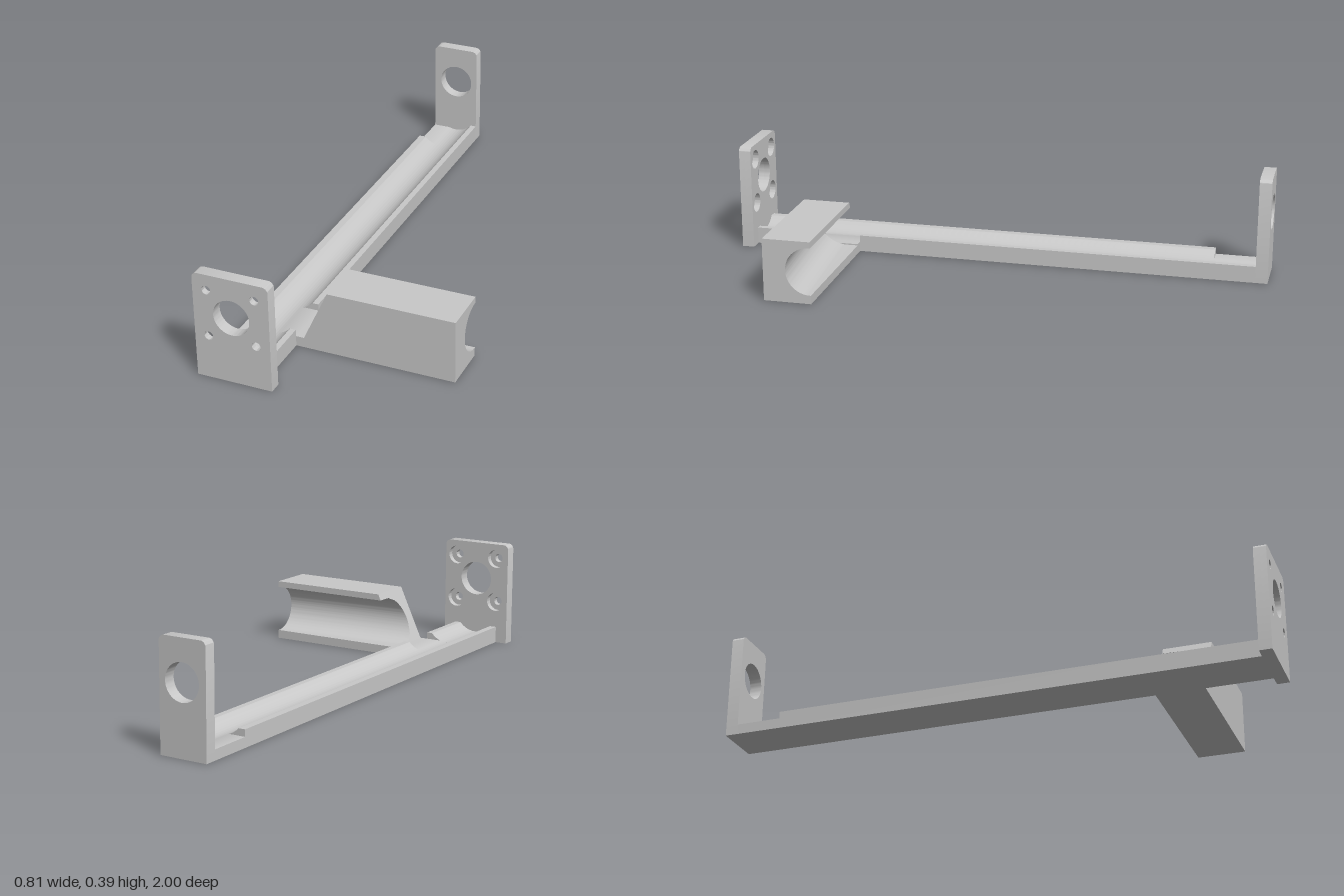
import * as THREE from 'three';
import { toCreasedNormals } from 'three/addons/utils/BufferGeometryUtils.js';

const CX = -0.266;          // axis of the rail channel and the plate bores
const RAIL = [-0.358, -0.178];
const FLOOR = 0.037, TOP = 0.062;
const BORE_Y = 0.12, BORE_R = 0.088;
const ARM_BACK = 0.545, ARM_FRONT = 0.721, ARM_TOP = 0.231;

export function createModel() {
  const group = new THREE.Group();
  const grey = new THREE.MeshStandardMaterial({ color: 0xc8c8c8 });
  grey.name = 'lightGrey';

  const add = (name, geometry) => {
    const mesh = new THREE.Mesh(toCreasedNormals(geometry, 0.5), grey);
    mesh.name = name;
    group.add(mesh);
  };
  const extrude = (shape, z0, z1) =>
    new THREE.ExtrudeGeometry(shape, { depth: z1 - z0, bevelEnabled: false, curveSegments: 32 }).translate(0, 0, z0);

  // Upright plate with rounded top corners and round holes [x, y, radius]
  const plate = (x0, x1, holes) => {
    const h = 0.393, r = 0.02;
    const s = new THREE.Shape();
    s.moveTo(x0, 0);
    s.lineTo(x1, 0);
    s.lineTo(x1, h - r);
    s.absarc(x1 - r, h - r, r, 0, Math.PI / 2, false);
    s.lineTo(x0 + r, h);
    s.absarc(x0 + r, h - r, r, Math.PI / 2, Math.PI, false);
    s.closePath();
    for (const [x, y, radius] of holes) {
      const hole = new THREE.Path();
      hole.absarc(x, y, radius, 0, Math.PI * 2, true);
      s.holes.push(hole);
    }
    return s;
  };
  const bore = [CX, 0.249, 0.0655];
  const screws = (r) => [-1, 1].flatMap((i) => [-1, 1].map((j) => [CX + i * 0.0865, 0.249 + j * 0.0865, r]));

  // Motor plate: narrow screw holes in front, wider counterbores behind
  add('frontPlateFace', extrude(plate(-0.403, -0.129, [bore, ...screws(0.016)]), 0.978, 1));
  add('frontPlateCounterbores', extrude(plate(-0.403, -0.129, [bore, ...screws(0.036)]), 0.955, 0.978));
  add('backPlate', extrude(plate(...RAIL, [bore]), -1, -0.955));

  // Rail section: round channel, with a full or cut-down wall on each side
  const rail = (yMinus, yPlus) => {
    const angle = (y) => Math.asin((BORE_Y - y) / BORE_R);
    const s = new THREE.Shape();
    s.moveTo(RAIL[0], 0);
    s.lineTo(RAIL[1], 0);
    s.lineTo(RAIL[1], yPlus);
    s.absarc(CX, BORE_Y, BORE_R, -angle(yPlus), -Math.PI + angle(yMinus), true);
    s.lineTo(RAIL[0], yMinus);
    s.closePath();
    return s;
  };
  add('railFront', extrude(rail(TOP, TOP), ARM_FRONT, 0.955));
  add('railJunction', extrude(rail(TOP, FLOOR), ARM_BACK, ARM_FRONT));
  add('railMain', extrude(rail(TOP, TOP), -0.79, ARM_BACK));
  add('railBack', extrude(rail(FLOOR, TOP), -0.955, -0.79));

  // Floor joining the rail to the side arm
  add('armFloor', new THREE.BoxGeometry(0.03, FLOOR, ARM_FRONT - ARM_BACK)
    .translate(-0.163, FLOOR / 2, (ARM_FRONT + ARM_BACK) / 2));

  // Side arm: C section, sloped at the rail end, its channel deepening towards the rail
  const c = new THREE.Shape();
  c.moveTo(-ARM_FRONT, 0);
  c.lineTo(-ARM_BACK, 0);
  c.lineTo(-ARM_BACK, BORE_Y - BORE_R);
  c.lineTo(-0.55, BORE_Y - BORE_R);
  c.absarc(-0.55, BORE_Y, BORE_R, -Math.PI / 2, -Math.PI * 1.5, true);
  c.lineTo(-ARM_BACK, BORE_Y + BORE_R);
  c.lineTo(-ARM_BACK, ARM_TOP);
  c.lineTo(-ARM_FRONT, ARM_TOP);
  c.closePath();
  const arm = extrude(c, 0, 1);
  const p = arm.attributes.position;
  for (let i = 0; i < p.count; i++) {
    const u = p.getX(i);
    if (p.getZ(i) > 0.5) {
      p.setZ(i, 0.403);
    } else {
      p.setZ(i, -0.058 - (ARM_TOP - p.getY(i)) * 0.465);
      if (u > -0.715 && u < -0.549) p.setX(i, u - 0.04);
    }
  }
  add('sideArm', arm.rotateY(Math.PI / 2));

  return group;
}
